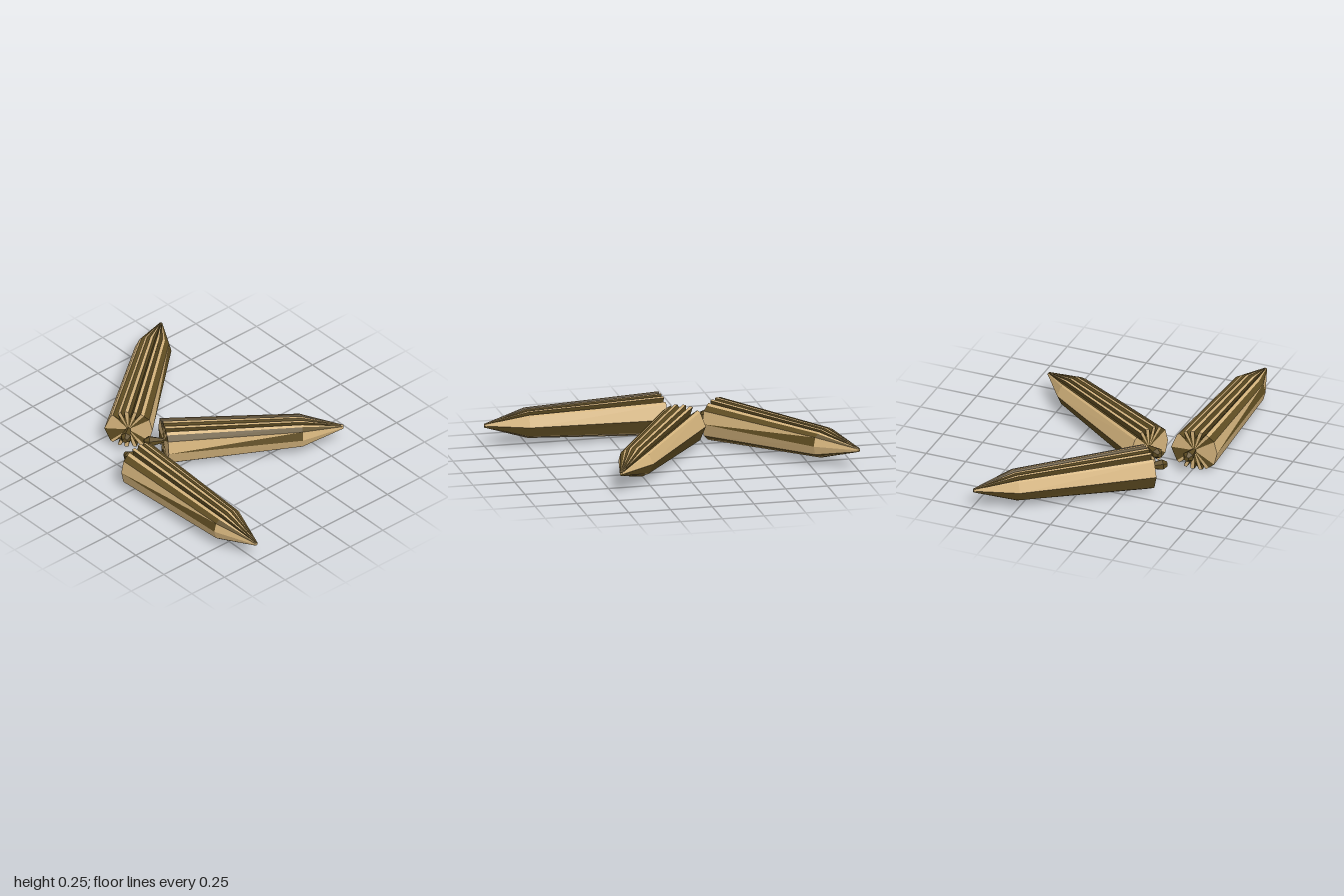
import * as THREE from 'three';

const tan = new THREE.MeshStandardMaterial({ color: 0xd4b37c, flatShading: true });
const dark = new THREE.MeshStandardMaterial({ color: 0x5e4c22, flatShading: true });

// Upper fluted edge, right to left: pairs are ridge tops
const ridges = [
  [[0.105, 0.085], [0.09, 0.096]],
  [[0.062, 0.113], [0.045, 0.118]],
  [[0.022, 0.123], [0, 0.123]],
  [[-0.03, 0.123], [-0.05, 0.12]],
  [[-0.072, 0.112], [-0.09, 0.1]],
];

// Full cross-section, counter-clockwise; each point holds u, v, and the colour of the strip that starts there
function crossSection() {
  const top = [];
  ridges.forEach(([a, b], i) => {
    top.push({ u: a[0], v: a[1], tan: true }, { u: b[0], v: b[1], tan: false });
    const next = ridges[i + 1];
    if (!next) return;
    // groove between two ridges
    const u = (b[0] + next[0][0]) / 2, v = (b[1] + next[0][1]) / 2;
    const s = 0.08 / Math.hypot(u, v);
    top.push({ u: u * s, v: v * s, tan: false, groove: true });
  });
  const left = { u: -0.122, v: 0.075, tan: true, split: true };
  const bottom = top.slice().reverse().map((p, i, all) => ({
    u: p.u, v: -p.v, groove: p.groove,
    tan: !p.groove && i + 1 < all.length && !all[i + 1].groove,
  }));
  return [
    { u: 0.14, v: 0, tan: true }, ...top, left,
    { u: -0.14, v: 0, tan: true }, { u: -0.122, v: -0.075, tan: false }, ...bottom,
  ];
}

function triangleMesh(triangles, material, name) {
  const geometry = new THREE.BufferGeometry();
  geometry.setAttribute('position', new THREE.Float32BufferAttribute(triangles.flat(2), 3));
  geometry.computeVertexNormals();
  const mesh = new THREE.Mesh(geometry, material);
  mesh.name = name;
  return mesh;
}

function createSpike() {
  const spike = new THREE.Group();
  const section = crossSection();
  const count = section.length;
  // Slanted base, narrower shoulder with shallower grooves, small tip
  const base = section.map(p => [p.u, p.v, -0.09 * p.u]);
  const shoulder = section.map(p => {
    const k = p.groove ? 1.12 : 1;
    return [p.u * 0.77 * k, p.v * 0.69 * k, 0.805];
  });
  const tip = section.map(p => [p.u * 0.07, p.v * 0.09, 1.055]);
  const light = [], shade = [];

  section.forEach((p, i) => {
    const j = (i + 1) % count;
    const target = p.tan ? light : shade;
    // body strip, one side strip has a dark wedge
    target.push([base[i], base[j], shoulder[i]]);
    (p.split ? shade : target).push([base[j], shoulder[j], shoulder[i]]);
    // pointed end
    target.push([shoulder[i], shoulder[j], tip[j]], [shoulder[i], tip[j], tip[i]]);
    target.push([tip[i], tip[j], [0, 0, 1.055]]);
    // fan closing the base
    target.push([base[j], base[i], [0, 0, 0]]);
  });
  spike.add(triangleMesh(light, tan, 'ridges'), triangleMesh(shade, dark, 'grooves'));

  // Small stalk that widens to a blunt knob behind the base
  const profile = [[0, 0.005], [0.012, 0.005], [0.034, -0.085], [0.016, -0.115], [0, -0.115]]
    .map(([r, y]) => new THREE.Vector2(r, y)).reverse();
  const stalkGeometry = new THREE.LatheGeometry(profile, 6);
  stalkGeometry.rotateX(Math.PI / 2);
  const stalk = new THREE.Mesh(stalkGeometry, dark);
  stalk.name = 'stalk';
  spike.add(stalk);
  return spike;
}

export function createModel() {
  const model = new THREE.Group();
  // Base centre and tip of each spike on the ground plan: x, z, x, z
  const layout = [
    ['frontSpike', -0.505, -0.055, -0.505, 1.0],
    ['backSpike', -0.335, -0.34, 0.48, -1.0],
    ['leftSpike', -0.25, -0.125, 0.64, 0.46],
  ];
  for (const [name, x, z, tipX, tipZ] of layout) {
    const spike = createSpike();
    spike.name = name;
    spike.position.set(x, 0.123, z);
    spike.rotation.y = Math.atan2(tipX - x, tipZ - z);
    model.add(spike);
  }
  return model;
}
